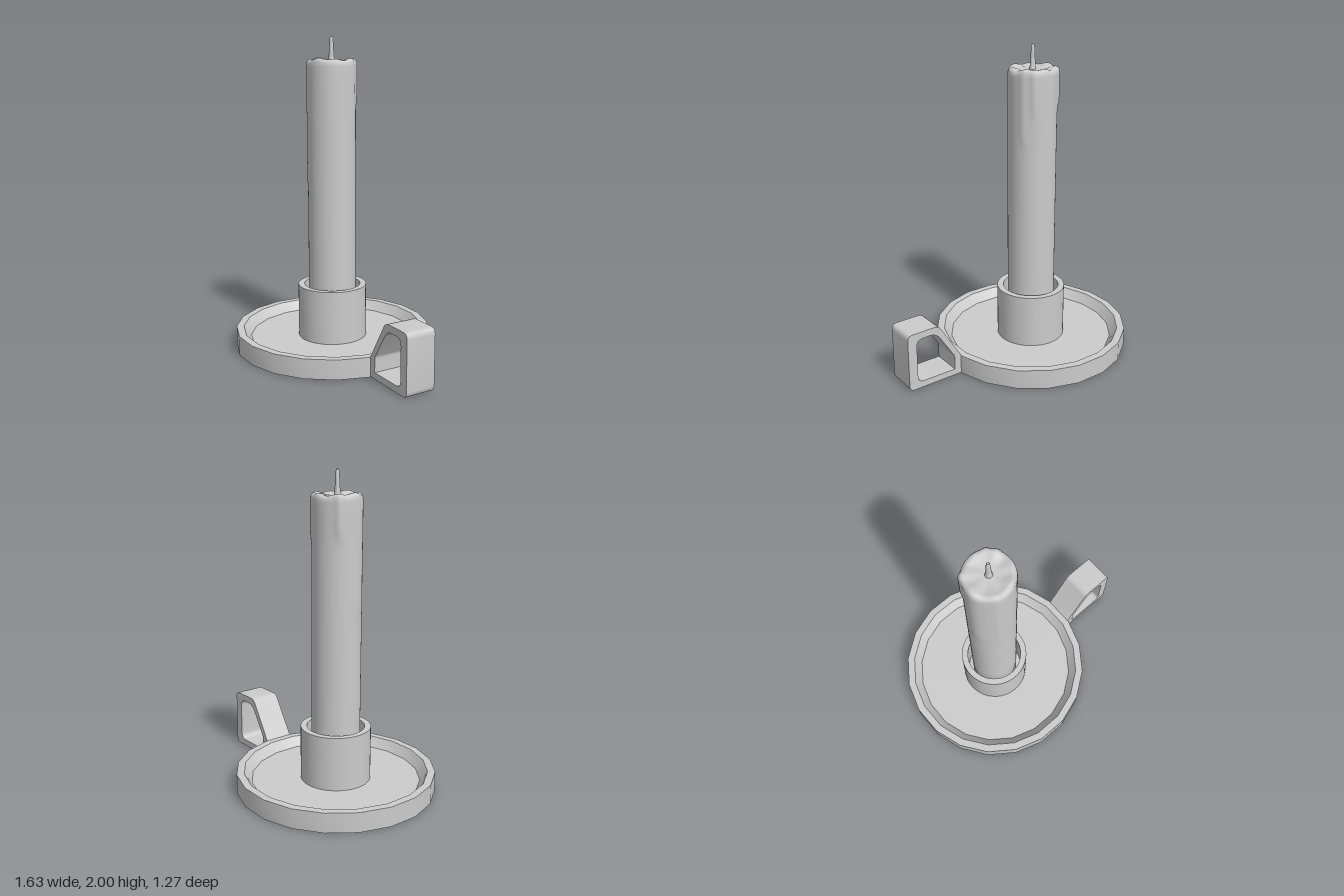
import * as THREE from 'three';
import { mergeVertices, toCreasedNormals } from 'three/addons/utils/BufferGeometryUtils.js';

const material = new THREE.MeshStandardMaterial({ color: 0xcccccc });
const V = (x, y) => new THREE.Vector2(x, y);

function part(name, geometry) {
  const mesh = new THREE.Mesh(geometry, material);
  mesh.name = name;
  return mesh;
}

// Surface of revolution with crisp profile corners
function turned(profile, sides) {
  const geo = new THREE.LatheGeometry(profile.map(([r, y]) => V(r, y)), sides);
  return toCreasedNormals(geo, 0.5);
}

// Polygon with rounded corners: each point is [x, y, radius]
function rounded(target, pts) {
  pts.forEach(([x, y, r], i) => {
    const p = V(x, y);
    const toward = ([qx, qy]) => V(qx, qy).sub(p).setLength(r).add(p);
    const a = toward(pts[(i + pts.length - 1) % pts.length]);
    const b = toward(pts[(i + 1) % pts.length]);
    if (i === 0) target.moveTo(a.x, a.y);
    else target.lineTo(a.x, a.y);
    if (r > 0) target.quadraticCurveTo(x, y, b.x, b.y);
  });
  target.closePath();
  return target;
}

// Wax drips: angle from +z toward +x, lower end, width, thickness
const drips = [
  [-2.35, 1.62, 0.16, 0.012],
  [-1.45, 1.15, 0.3, 0.007],
  [-0.55, 1.08, 0.16, 0.005],
  [2.4, 1.6, 0.14, 0.009],
  [1.95, 1.42, 0.14, 0.006],
];

function candleGeometry() {
  const profile = [[0, 0.13], [0.153, 0.13]];
  for (let y = 0.4; y < 1.8; y += 0.05) profile.push([0.153, y]);
  profile.push([0.153, 1.82], [0.151, 1.842], [0.143, 1.856], [0.13, 1.862],
    [0.115, 1.86], [0.095, 1.853], [0.06, 1.849], [0.02, 1.85], [0, 1.85]);
  let geo = new THREE.LatheGeometry(profile.map(([r, y]) => V(r, y)), 72);
  geo.deleteAttribute('uv');
  geo.deleteAttribute('normal');
  geo = mergeVertices(geo, 1e-5);
  const pos = geo.attributes.position;
  for (let i = 0; i < pos.count; i++) {
    const x = pos.getX(i), y = pos.getY(i), z = pos.getZ(i);
    const r = Math.hypot(x, z), a = Math.atan2(x, z);
    if (r < 0.09) continue;
    // melted, uneven rim
    const rim = THREE.MathUtils.smoothstep(y, 1.81, 1.86);
    let lift = rim * (0.004 * Math.sin(3 * a + 0.6) + 0.004 * Math.sin(7 * a));
    let grow = 0;
    for (const [angle, low, width, thick] of drips) {
      const d = Math.atan2(Math.sin(a - angle), Math.cos(a - angle)) / width;
      const bump = Math.exp(-d * d) * THREE.MathUtils.smoothstep(y, low - 0.04, low + 0.04);
      grow += thick * bump;
      lift += rim * 0.3 * thick * bump;
    }
    const k = (r + grow) / r;
    pos.setXYZ(i, x * k, y + lift, z * k);
  }
  geo.computeVertexNormals();
  return geo;
}

export function createModel() {
  const model = new THREE.Group();
  model.name = 'candlestick';

  const stick = new THREE.Group();
  stick.name = 'dishAndCandle';
  stick.position.x = -0.185;
  model.add(stick);

  // Twenty-sided dish with a sloped inner wall
  stick.add(part('dish', turned(
    [[0, 0], [0.633, 0], [0.633, 0.125], [0.585, 0.125], [0.537, 0.065], [0, 0.065]], 20)));

  // Hollow cup that holds the candle
  stick.add(part('socket', turned(
    [[0.222, 0.05], [0.222, 0.41], [0.182, 0.41], [0.182, 0.13], [0, 0.13]], 48)));

  stick.add(part('candle', candleGeometry()));

  // Tapered wick
  stick.add(part('wick', turned(
    [[0.024, 1.84], [0.018, 1.87], [0.014, 1.93], [0.011, 1.99], [0.007, 2], [0, 2]], 12)));

  // Looped grip, set slightly askew
  const outline = rounded(new THREE.Shape(), [
    [-0.01, 0.005, 0], [0.38, 0.005, 0.035], [0.38, 0.385, 0.035],
    [0.163, 0.385, 0.035], [0.005, 0.125, 0], [-0.01, 0.11, 0]]);
  outline.holes.push(rounded(new THREE.Path(), [
    [0.055, 0.045, 0], [0.055, 0.14, 0.01], [0.183, 0.34, 0.045],
    [0.32, 0.34, 0.045], [0.32, 0.048, 0.04]]));
  const width = 0.193;
  const grip = new THREE.ExtrudeGeometry(outline, { depth: width, bevelEnabled: false, curveSegments: 6 });
  grip.translate(0, 0, -width / 2);
  const handle = part('handle', toCreasedNormals(grip, 0.5));
  handle.position.set(0.425, 0, 0.094);
  handle.rotation.y = THREE.MathUtils.degToRad(-8.5);
  model.add(handle);

  return model;
}
